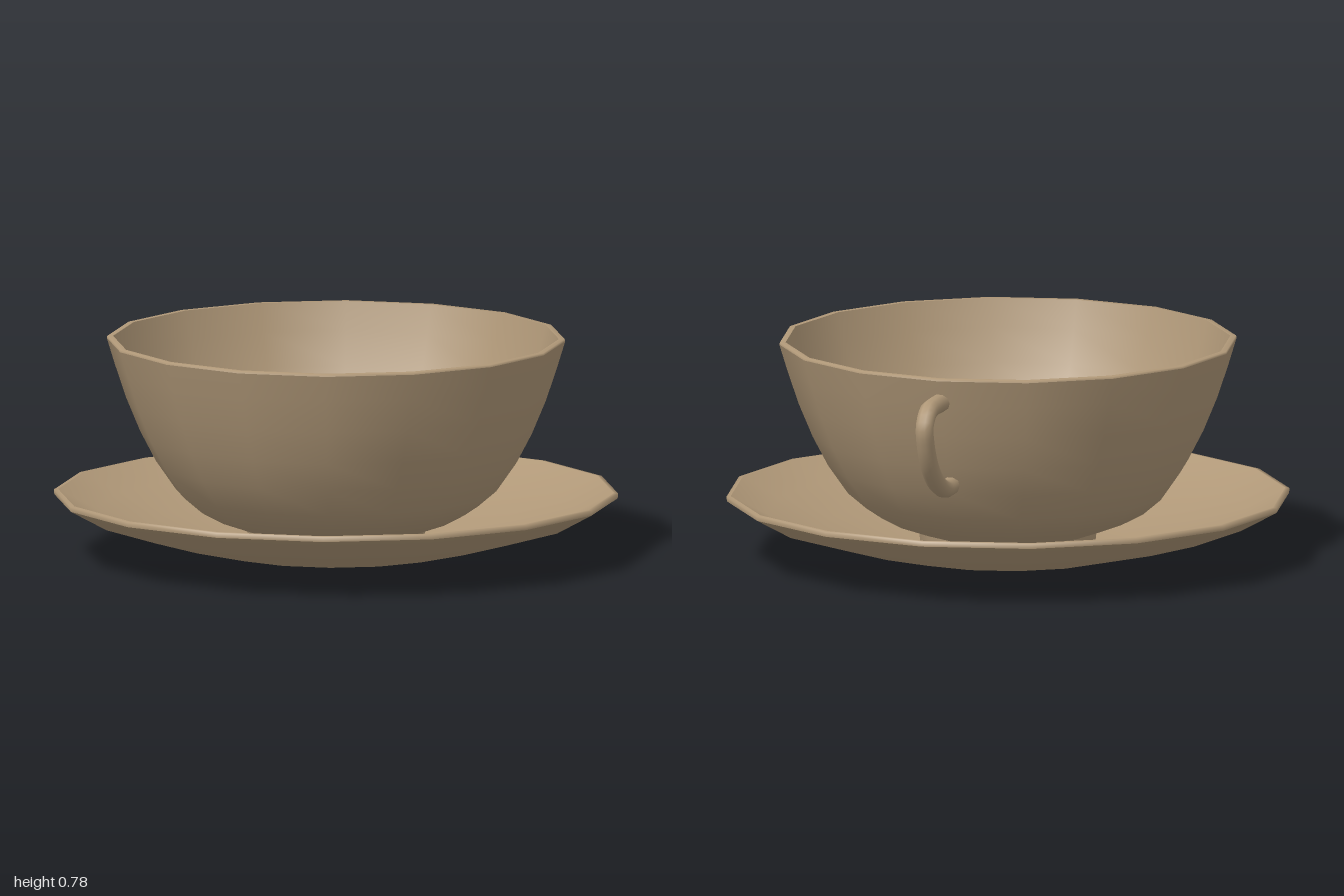
import * as THREE from 'three';

const SIDES = 16;

export function createModel() {
  const clay = new THREE.MeshStandardMaterial({ color: 0xb09878 });
  clay.name = 'tan clay';
  const model = new THREE.Group();
  model.name = 'cupAndSaucer';

  // Each profile is a smooth band [radius, height]; bands meet at sharp edges
  function turned(name, bands) {
    const group = new THREE.Group();
    group.name = name;
    for (const [part, points] of Object.entries(bands)) {
      const profile = points.map(([r, y]) => new THREE.Vector2(r, y));
      const mesh = new THREE.Mesh(new THREE.LatheGeometry(profile, SIDES), clay);
      mesh.name = part;
      group.add(mesh);
    }
    model.add(group);
  }

  // Shallow dish with a slightly sunken centre
  turned('saucer', {
    saucerUnderside: [[0, 0], [0.2, 0.008], [0.29, 0.026], [0.44, 0.03], [0.66, 0.082], [0.86, 0.14], [0.993, 0.213]],
    saucerRim: [[0.993, 0.213], [0.995, 0.23], [0.98, 0.232]],
    saucerTop: [[0.98, 0.232], [0.85, 0.165], [0.65, 0.108], [0.44, 0.058], [0.34, 0.054], [0.28, 0.045], [0, 0.045]],
  });

  // Wide bowl on a low foot
  turned('cup', {
    cupBase: [[0, 0.06], [0.31, 0.06]],
    cupFoot: [[0.31, 0.06], [0.315, 0.1]],
    cupOutside: [[0.315, 0.1], [0.42, 0.137], [0.5, 0.18], [0.565, 0.235], [0.635, 0.335], [0.69, 0.44], [0.74, 0.56], [0.78, 0.68], [0.808, 0.772]],
    cupLip: [[0.808, 0.772], [0.806, 0.78], [0.786, 0.78]],
    cupInside: [[0.786, 0.78], [0.758, 0.68], [0.718, 0.56], [0.668, 0.44], [0.612, 0.342], [0.545, 0.252], [0.48, 0.2], [0.4, 0.158], [0.315, 0.125]],
    cupFloor: [[0.315, 0.125], [0, 0.12]],
  });

  // Ear-shaped handle at the back, ends buried in the cup wall
  const path = new THREE.CatmullRomCurve3([
    [0.69, -0.77], [0.69, -0.87], [0.68, -0.925], [0.635, -0.962], [0.57, -0.95],
    [0.48, -0.9], [0.41, -0.82], [0.375, -0.735], [0.372, -0.66],
  ].map(([y, z]) => new THREE.Vector3(0, y, z)));
  const handle = new THREE.Mesh(new THREE.TubeGeometry(path, 32, 0.033, 10), clay);
  handle.name = 'handle';
  model.add(handle);

  return model;
}
